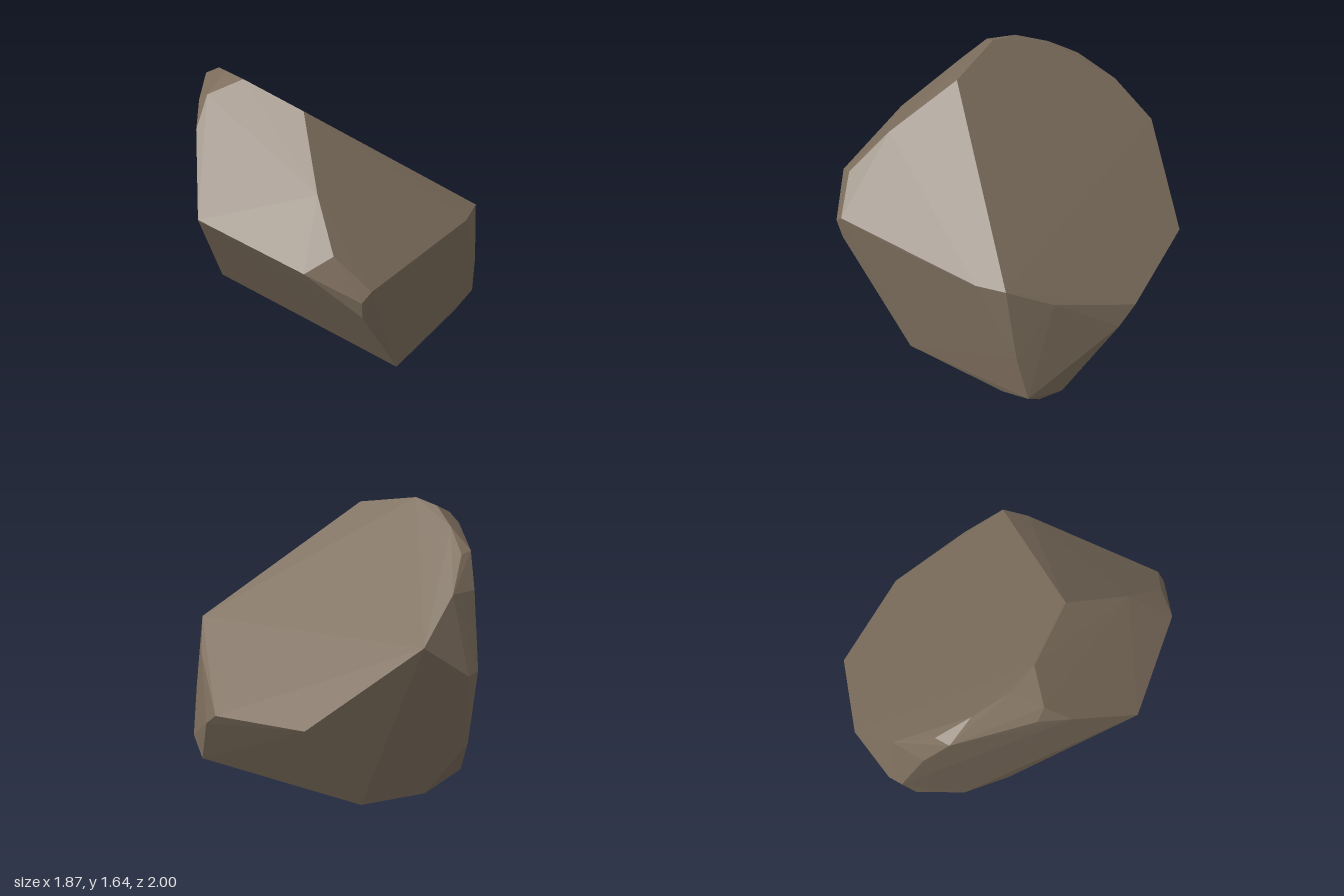
import * as THREE from 'three';
import { ConvexGeometry } from 'three/addons/geometries/ConvexGeometry.js';

// Corners of the boulder, grouped by the region they bound
const corners = {
  // rim of the large sloping top facet
  slope: [
    [-0.38, 1.64, -0.18], [-0.3, 1.58, 0.23], [0.54, 0.86, 0.82], [0.7, 0.7, 0.6],
    [0.93, 0.48, 0.12], [0.82, 0.56, -0.55], [0.33, 1.0, -0.93], [0.06, 1.23, -0.88],
    [-0.15, 1.4, -0.75], [-0.26, 1.52, -0.57], [-0.36, 1.61, -0.37],
  ],
  // left shoulder
  shoulder: [
    [-0.54, 1.55, -0.31], [-0.68, 1.41, -0.24], [-0.94, 1.1, 0.09],
    [-0.77, 1.04, 0.75], [-0.63, 1.12, 0.82], [-0.52, 1.32, 0.58],
  ],
  // front facet
  front: [
    [-0.53, 0.94, 1.0], [-0.59, 0.89, 0.99], [-0.57, 0.77, 0.98], [-0.14, 0.89, 0.95],
    [0.38, 0.86, 0.88], [0.61, 0.4, 0.82], [0.67, 0.08, 0.79], [0.91, 0.39, 0.25],
  ],
  // back edge and overhang
  back: [
    [-0.55, 1.49, -0.38], [-0.24, 1.41, -0.74], [-0.14, 1.22, -0.86],
    [0.05, 0.8, -1.0], [-0.04, 0.81, -0.99], [-0.05, 0.36, -0.93],
  ],
  // underside
  base: [
    [-0.17, 0.05, 0.9], [0.49, 0.02, 0.8], [0.68, 0, 0.7], [0.75, 0.01, 0.57],
    [0.46, 0.03, -0.6], [0.12, 0.05, -0.77], [-0.26, 0.06, -0.71], [-0.44, 0.07, -0.45],
  ],
};

export function createModel() {
  const group = new THREE.Group();
  group.name = 'boulder';

  // Faceted stone: the hull of all its corners
  const points = Object.values(corners).flat().map((p) => new THREE.Vector3(...p));
  const rock = new THREE.Mesh(
    new ConvexGeometry(points),
    new THREE.MeshStandardMaterial({ color: 0x7d6e5d, flatShading: true }),
  );
  rock.name = 'rock';
  group.add(rock);
  return group;
}
